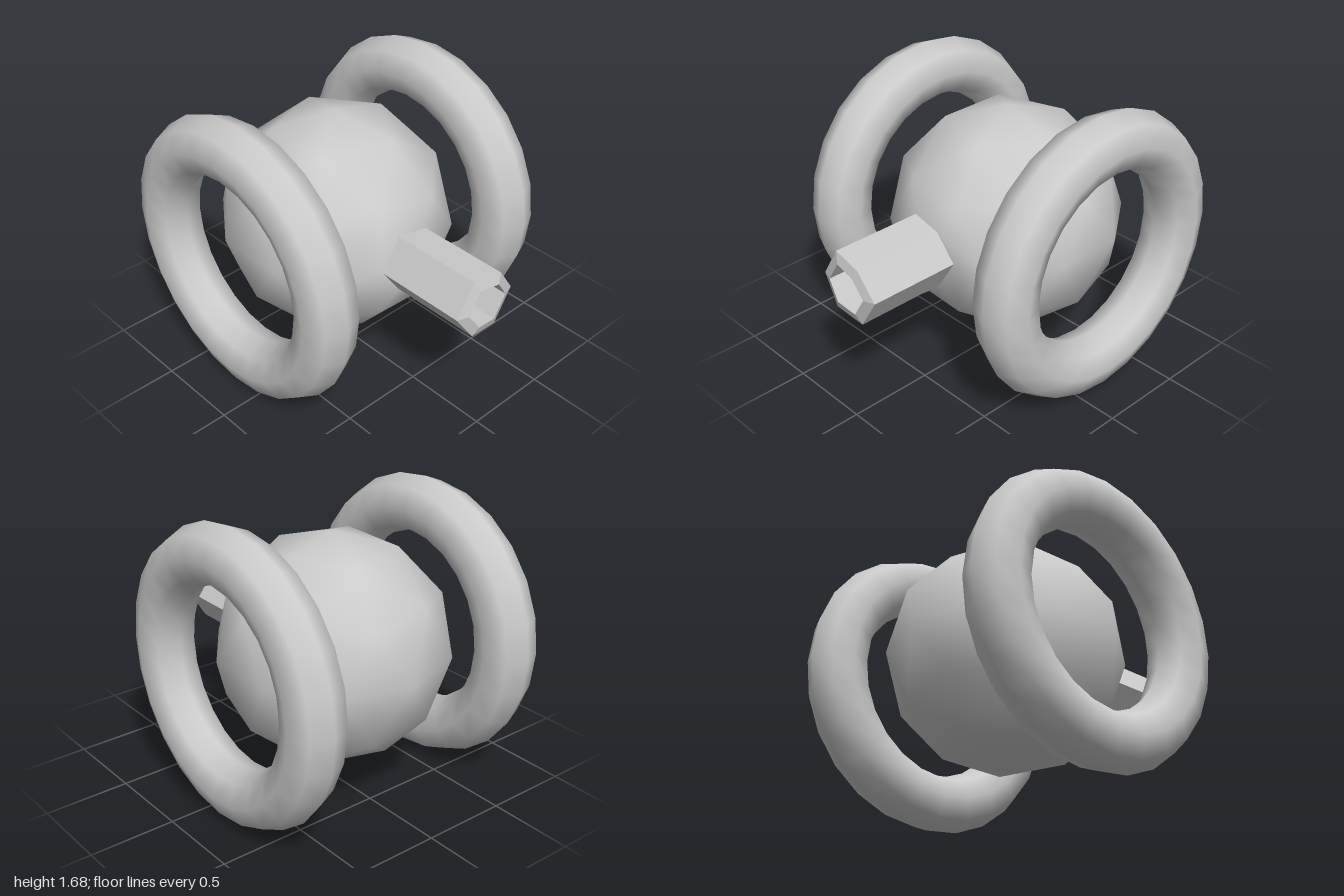
import * as THREE from 'three';
import { mergeVertices } from 'three/addons/utils/BufferGeometryUtils.js';

const RADIUS = 0.672;
const BARREL = 0.54; // barrel length
const BORE = 0.5; // bore depth

function geometryFrom(points) {
  return new THREE.BufferGeometry().setFromPoints(points);
}

function quad(list, a, b, c, d) {
  list.push(a, b, c, a, c, d);
}

// Body and barrel share the hexagon of faces around the body's front vertex.
function buildBodyAndBarrel() {
  const ico = new THREE.IcosahedronGeometry(RADIUS, 1);
  ico.rotateZ(-Math.atan(2 / (1 + Math.sqrt(5)))); // one vertex straight up
  const pos = ico.getAttribute('position');
  const tip = new THREE.Vector3(0, 0, RADIUS);
  const body = [];
  const barrel = [];

  // Point on the front hexagon, shrunk towards the tip and pushed along z
  const inset = (p, scale, dz = 0) => {
    const v = tip.clone().lerp(p, scale);
    v.z += dz;
    return v;
  };

  for (let i = 0; i < pos.count; i += 3) {
    const tri = [0, 1, 2].map((k) => new THREE.Vector3().fromBufferAttribute(pos, i + k));
    const k = tri.findIndex((v) => v.distanceTo(tip) < 0.01);
    if (k < 0) {
      body.push(...tri);
      continue;
    }
    const p = tri[(k + 1) % 3];
    const q = tri[(k + 2) % 3];
    // Rings: barrel foot, muzzle edge, bore edge, bore floor
    const rings = [[0.525, 0], [0.525, BARREL], [0.355, BARREL], [0.355, BARREL - BORE]];
    const [foot, ...rest] = rings.map(([s, dz]) => [inset(p, s, dz), inset(q, s, dz)]);
    quad(body, p, q, foot[1], foot[0]);
    let last = foot;
    for (const ring of rest) {
      quad(barrel, last[0], last[1], ring[1], ring[0]);
      last = ring;
    }
    barrel.push(last[0], last[1], inset(tip, 0, BARREL - BORE));
  }

  const bodyGeometry = mergeVertices(geometryFrom(body), 1e-3);
  bodyGeometry.computeVertexNormals();
  const barrelGeometry = geometryFrom(barrel);
  barrelGeometry.computeVertexNormals();
  return { bodyGeometry, barrelGeometry };
}

export function createModel() {
  const model = new THREE.Group();
  model.name = 'ringedBall';
  const smooth = new THREE.MeshStandardMaterial({ color: 0xcccccc });
  const flat = new THREE.MeshStandardMaterial({ color: 0xcccccc, flatShading: true });

  const add = (name, geometry, material, x = 0) => {
    const mesh = new THREE.Mesh(geometry, material);
    mesh.name = name;
    mesh.position.set(x, 0.842, -0.158);
    model.add(mesh);
  };

  const { bodyGeometry, barrelGeometry } = buildBodyAndBarrel();
  add('body', bodyGeometry, smooth);
  add('barrel', barrelGeometry, flat);

  // Side rings
  const ring = new THREE.TorusGeometry(0.673, 0.168, 8, 24).rotateY(Math.PI / 2);
  add('leftRing', ring, smooth, 0.673);
  add('rightRing', ring, smooth, -0.673);

  return model;
}
